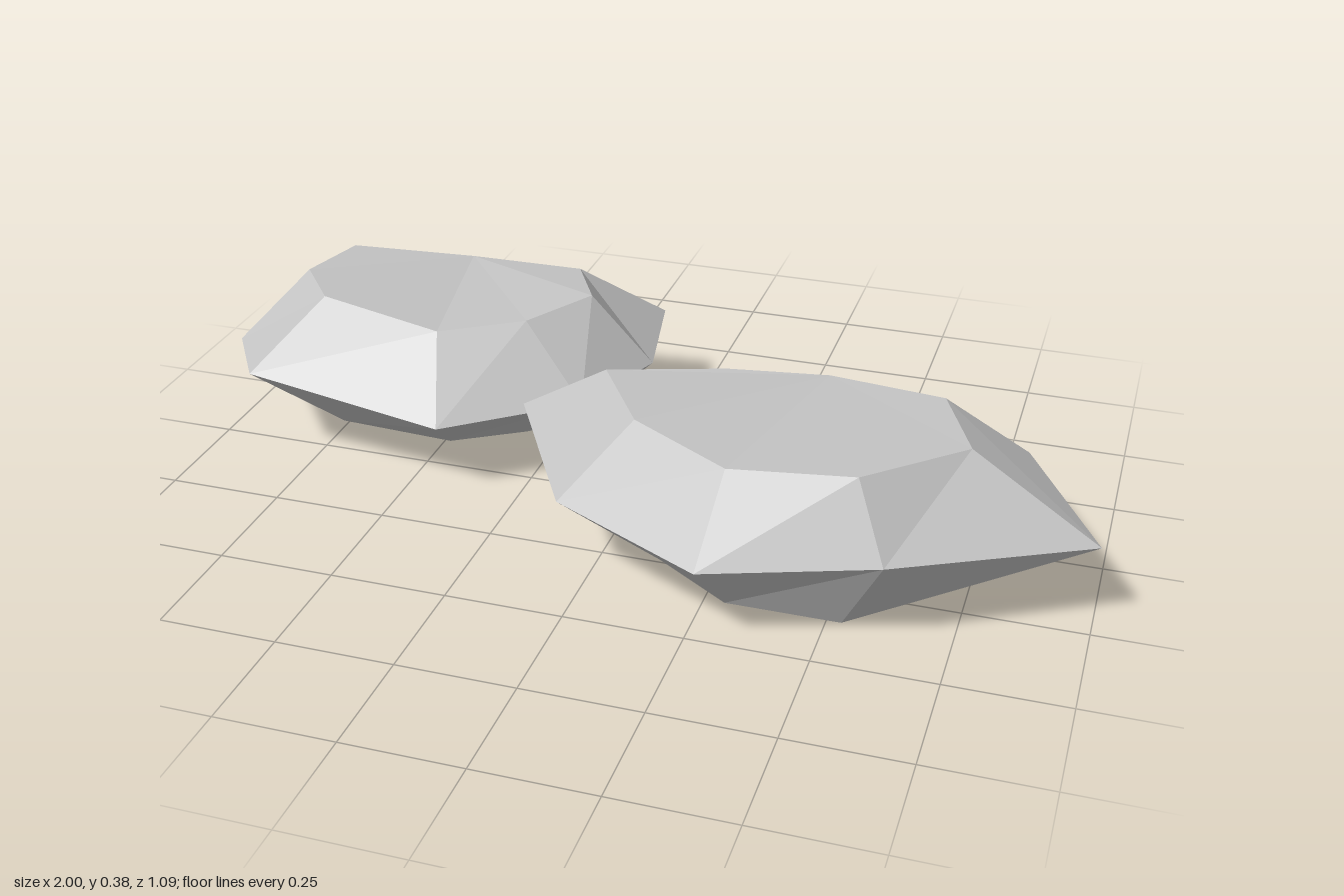
import * as THREE from 'three';

// Closed faceted stone from a bottom, middle and top ring of [x, y, z] points,
// each running left, back, right, front.
function makeStone(name, rings, material) {
  const n = rings[0].length;
  const positions = [];
  const tri = (a, b, c) => positions.push(...a, ...b, ...c);

  // Sloping sides
  for (let r = 0; r < rings.length - 1; r++) {
    const low = rings[r], high = rings[r + 1];
    for (let i = 0; i < n; i++) {
      const j = (i + 1) % n;
      tri(low[j], low[i], high[i]);
      tri(low[j], high[i], high[j]);
    }
  }
  // Broad, slightly hollow top and underside, fanned from the middle of the back edge
  const top = rings[rings.length - 1], bottom = rings[0];
  const hub = 2;
  for (let k = 1; k < n - 1; k++) {
    const i = (hub + k) % n, j = (hub + k + 1) % n;
    tri(top[hub], top[j], top[i]);
    tri(bottom[hub], bottom[i], bottom[j]);
  }

  const geometry = new THREE.BufferGeometry();
  geometry.setAttribute('position', new THREE.Float32BufferAttribute(positions, 3));
  geometry.computeVertexNormals();
  const mesh = new THREE.Mesh(geometry, material);
  mesh.name = name;
  return mesh;
}

export function createModel() {
  const group = new THREE.Group();
  group.name = 'flatStones';
  const stoneGrey = new THREE.MeshStandardMaterial({ color: 0xc4c4c4, flatShading: true });
  stoneGrey.name = 'stone grey';

  // Larger stone at the front
  group.add(makeStone('frontStone', [
    [[-0.02, 0.01, 0.08], [0.17, 0.03, -0.02], [0.38, 0.035, -0.03], [0.64, 0.035, 0],
      [0.73, 0.025, 0.185], [0.53, 0, 0.355], [0.30, 0.02, 0.385], [0.13, 0.02, 0.27]],
    [[-0.255, 0.195, 0.02], [0.05, 0.195, -0.155], [0.435, 0.2, -0.2], [0.82, 0.19, -0.1],
      [1, 0.18, 0.22], [0.62, 0.195, 0.445], [0.28, 0.18, 0.545], [-0.055, 0.18, 0.37]],
    [[-0.05, 0.33, 0.065], [0.19, 0.328, -0.02], [0.40, 0.325, -0.06], [0.65, 0.335, -0.01],
      [0.735, 0.34, 0.195], [0.55, 0.34, 0.37], [0.30, 0.335, 0.405], [0.085, 0.35, 0.295]],
  ], stoneGrey));

  // Smaller stone at the back
  group.add(makeStone('backStone', [
    [[-0.77, 0.03, -0.14], [-0.76, 0.035, -0.29], [-0.53, 0.05, -0.37], [-0.29, 0.055, -0.375],
      [-0.24, 0.018, -0.235], [-0.31, 0.04, -0.13], [-0.45, 0.05, -0.02], [-0.71, 0.06, -0.02]],
    [[-1, 0.19, -0.1], [-0.94, 0.19, -0.35], [-0.535, 0.19, -0.515], [-0.105, 0.19, -0.545],
      [-0.05, 0.19, -0.265], [-0.145, 0.18, -0.045], [-0.41, 0.17, 0.145], [-0.87, 0.215, 0.105]],
    [[-0.825, 0.375, -0.13], [-0.785, 0.375, -0.29], [-0.53, 0.34, -0.39], [-0.27, 0.335, -0.405],
      [-0.185, 0.35, -0.24], [-0.29, 0.335, -0.1], [-0.46, 0.33, 0], [-0.73, 0.372, -0.012]],
  ], stoneGrey));

  return group;
}
